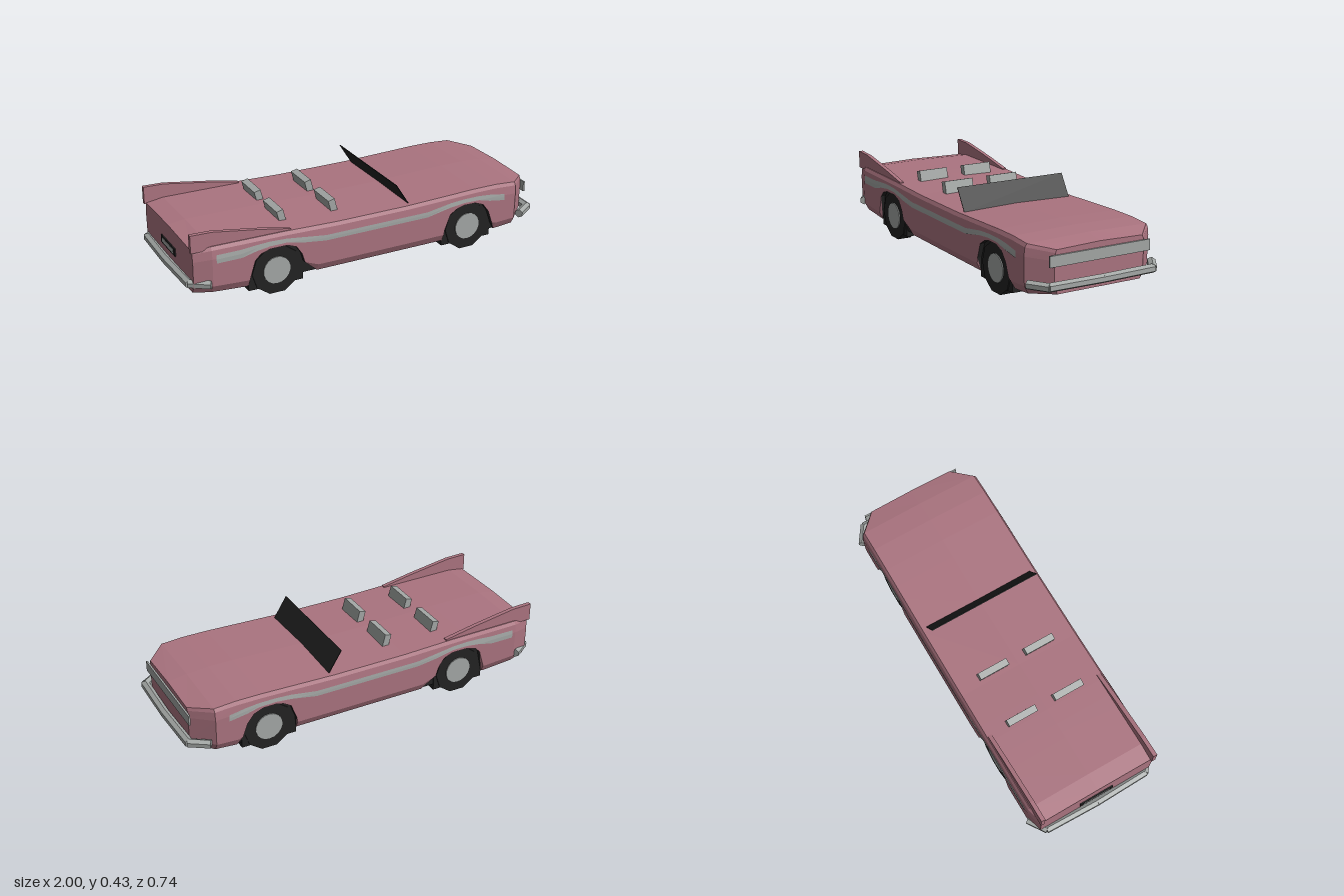
import * as THREE from 'three';

const paint = new THREE.MeshStandardMaterial({ color: 0xab7480, flatShading: true, side: THREE.DoubleSide });
paint.name = 'rose paint';
const chrome = new THREE.MeshStandardMaterial({ color: 0xa3a7a5, flatShading: true, side: THREE.DoubleSide });
chrome.name = 'grey trim';
const black = new THREE.MeshStandardMaterial({ color: 0x222222, flatShading: true, side: THREE.DoubleSide });
black.name = 'black rubber';

// Linear interpolation through [x, value] pairs
function interp(pairs, x) {
  for (let i = 1; i < pairs.length; i++) {
    const [x0, v0] = pairs[i - 1], [x1, v1] = pairs[i];
    if (x <= x1) return v0 + (v1 - v0) * Math.max(0, (x - x0) / (x1 - x0));
  }
  return pairs[pairs.length - 1][1];
}

// Body lines along the length
const sill = [[-0.96, 0.09], [-0.69, 0.07], [0.735, 0.07], [0.95, 0.088]];
const deck = [[-0.96, 0.315], [-0.87, 0.328], [-0.5, 0.325], [-0.2, 0.316], [0.2, 0.316], [0.6, 0.328], [0.735, 0.328], [0.85, 0.32], [0.95, 0.302]];
const width = [[-0.96, 0.325], [-0.87, 0.352], [0.85, 0.352], [0.95, 0.25]];
const bulge = [[0, 0.93], [0.16, 0.99], [0.75, 1], [0.93, 0.985], [1, 0.955]];
// Lower edge of the body sides, including the wheel arches
const edge = [
  [-0.96, 0.09], [-0.87, 0.083], [-0.69, 0.07], [-0.68, 0.075], [-0.65, 0.21], [-0.62, 0.24], [-0.57, 0.255],
  [-0.48, 0.255], [-0.43, 0.235], [-0.4, 0.19], [-0.385, 0.14], [-0.31, 0.07], [-0.2, 0.07], [0.2, 0.07],
  [0.415, 0.07], [0.42, 0.14], [0.45, 0.22], [0.49, 0.245], [0.53, 0.256], [0.6, 0.255], [0.65, 0.235],
  [0.685, 0.19], [0.71, 0.12], [0.735, 0.07], [0.85, 0.08], [0.95, 0.088],
];

function halfWidth(x, y) {
  const s = interp(sill, x);
  return interp(width, x) * interp(bulge, (y - s) / (interp(deck, x) - s));
}

function fromTriangles(tris) {
  const g = new THREE.BufferGeometry();
  g.setAttribute('position', new THREE.Float32BufferAttribute(tris.flat(2), 3));
  g.computeVertexNormals();
  return g;
}

function quad(list, a, b, c, d) {
  list.push([a, b, c], [a, c, d]);
}

function add(parent, name, geometry, material) {
  const m = new THREE.Mesh(geometry, material);
  m.name = name;
  parent.add(m);
  return m;
}

function box(parent, name, material, x0, x1, y0, y1, z0, z1) {
  const m = add(parent, name, new THREE.BoxGeometry(x1 - x0, y1 - y0, z1 - z0), material);
  m.position.set((x0 + x1) / 2, (y0 + y1) / 2, (z0 + z1) / 2);
  return m;
}

// One body cross-section, from the left lower edge over the deck to the right
function section([x, low]) {
  const s = interp(sill, x), top = interp(deck, x);
  const left = bulge.map(([t]) => {
    const y = Math.max(low, s + t * (top - s));
    return [x, y, halfWidth(x, y)];
  });
  const right = left.map(([px, py, pz]) => [px, py, -pz]).reverse();
  return [...left, [x, top + 0.007, 0], ...right];
}

function buildBody(car) {
  const rings = edge.map(section), shell = [], floor = [], n = rings[0].length;
  for (let s = 0; s < rings.length - 1; s++) {
    const a = rings[s], b = rings[s + 1];
    for (let i = 0; i < n - 1; i++) quad(shell, a[i], b[i], b[i + 1], a[i + 1]);
    quad(floor, a[n - 1], b[n - 1], b[0], a[0]);
  }
  // Nose and tail panels
  const tail = rings[0], nose = rings[rings.length - 1];
  for (let i = 0; i < n; i++) {
    const j = (i + 1) % n;
    shell.push([[-0.96, 0.2, 0], tail[i], tail[j]], [[0.95, 0.2, 0], nose[j], nose[i]]);
  }
  add(car, 'bodyShell', fromTriangles(shell), paint);
  add(car, 'underside', fromTriangles(floor), black);
  box(car, 'floorPan', black, -0.68, 0.73, 0.073, 0.14, -0.322, 0.322);
}

// Side trim strip lying just outside the body
function buildStripe(car, side) {
  const strip = [
    [-0.85, 0.243, 0.286], [-0.72, 0.243, 0.286], [-0.64, 0.262, 0.292], [-0.57, 0.271, 0.295], [-0.48, 0.271, 0.291],
    [-0.38, 0.25, 0.278], [-0.27, 0.235, 0.264], [0.31, 0.235, 0.264], [0.45, 0.262, 0.285],
    [0.53, 0.27, 0.29], [0.62, 0.268, 0.29], [0.69, 0.25, 0.284], [0.78, 0.236, 0.27],
  ];
  const rows = strip.map(([x, y0, y1]) => [0, 0.5, 1].map((t) => {
    const y = y0 + t * (y1 - y0);
    return [x, y, side * (halfWidth(x, y) + 0.003)];
  }));
  const tris = [];
  for (let s = 0; s < rows.length - 1; s++) {
    for (let i = 0; i < 2; i++) {
      const q = [rows[s][i], rows[s + 1][i], rows[s + 1][i + 1], rows[s][i + 1]];
      quad(tris, ...(side > 0 ? q : q.reverse()));
    }
  }
  add(car, 'sideStripe', fromTriangles(tris), chrome);
}

// Six-sided bar between two points
function bar(parent, name, a, b, r) {
  const p = new THREE.Vector3(...a), q = new THREE.Vector3(...b);
  const dir = q.clone().sub(p);
  const m = add(parent, name, new THREE.CylinderGeometry(r, r, dir.length(), 6), chrome);
  m.position.copy(p).add(q).multiplyScalar(0.5);
  m.quaternion.setFromUnitVectors(new THREE.Vector3(0, 1, 0), dir.normalize());
}

function buildBumper(car, name, end) {
  const g = new THREE.Group();
  g.name = name;
  for (const s of [-1, 1]) {
    bar(g, 'bumperBar', [end * 0.978, 0.135, 0], [end * 0.97, 0.135, s * 0.295], 0.023);
    bar(g, 'bumperCorner', [end * 0.974, 0.135, s * 0.288], [end * 0.88, 0.135, s * 0.351], 0.023);
  }
  car.add(g);
}

function buildFin(car, side) {
  const shape = new THREE.Shape([[-0.97, 0.31], [-0.45, 0.31], [-0.45, 0.33], [-0.62, 0.362], [-0.86, 0.4], [-0.97, 0.403]]
    .map(([x, y]) => new THREE.Vector2(x, y)));
  const g = new THREE.ExtrudeGeometry(shape, { depth: 0.022, bevelEnabled: false });
  add(car, 'tailFin', g, paint).position.z = side > 0 ? 0.31 : -0.332;
}

function buildWheel(car, x, side) {
  const g = new THREE.Group();
  g.name = 'wheel';
  const tyre = new THREE.CylinderGeometry(0.131, 0.131, 0.076, 10, 1, false, Math.PI / 10).rotateX(Math.PI / 2);
  add(g, 'tyre', tyre, black);
  const hub = new THREE.CylinderGeometry(0.072, 0.072, 0.008, 18).rotateX(Math.PI / 2);
  add(g, 'hubcap', hub, chrome).position.z = side * 0.039;
  g.position.set(x, 0.125, side * 0.293);
  car.add(g);
}

export function createModel() {
  const car = new THREE.Group();
  car.name = 'convertible';
  buildBody(car);

  for (const side of [-1, 1]) {
    buildStripe(car, side);
    buildFin(car, side);
    for (const x of [-0.53, 0.565]) buildWheel(car, x, side);
  }
  // Black wheel housings across the car
  box(car, 'rearWheelHousing', black, -0.68, -0.387, 0.04, 0.25, -0.326, 0.326);
  box(car, 'frontWheelHousing', black, 0.415, 0.71, 0.04, 0.25, -0.326, 0.326);

  buildBumper(car, 'frontBumper', 1);
  buildBumper(car, 'rearBumper', -1);
  box(car, 'grille', chrome, 0.95, 0.959, 0.223, 0.278, -0.28, 0.28);
  box(car, 'plateFrame', black, -0.966, -0.959, 0.19, 0.232, -0.095, 0.095);
  box(car, 'platePanel', chrome, -0.968, -0.965, 0.2, 0.222, -0.075, 0.075);

  // Raked windshield
  const screen = add(car, 'windshield', new THREE.BoxGeometry(0.004, 0.134, 0.62), black);
  screen.position.set(0.185, 0.371, 0);
  screen.rotation.z = Math.atan2(0.07, 0.112);

  // Seat backs leaning to the rear
  for (const x of [-0.446, -0.162]) {
    for (const z of [-0.135, 0.135]) {
      const seat = add(car, 'seatBack', new THREE.BoxGeometry(0.036, 0.075, 0.165), chrome);
      seat.position.set(x, 0.342, z);
      seat.rotation.z = 0.25;
    }
  }
  return car;
}
